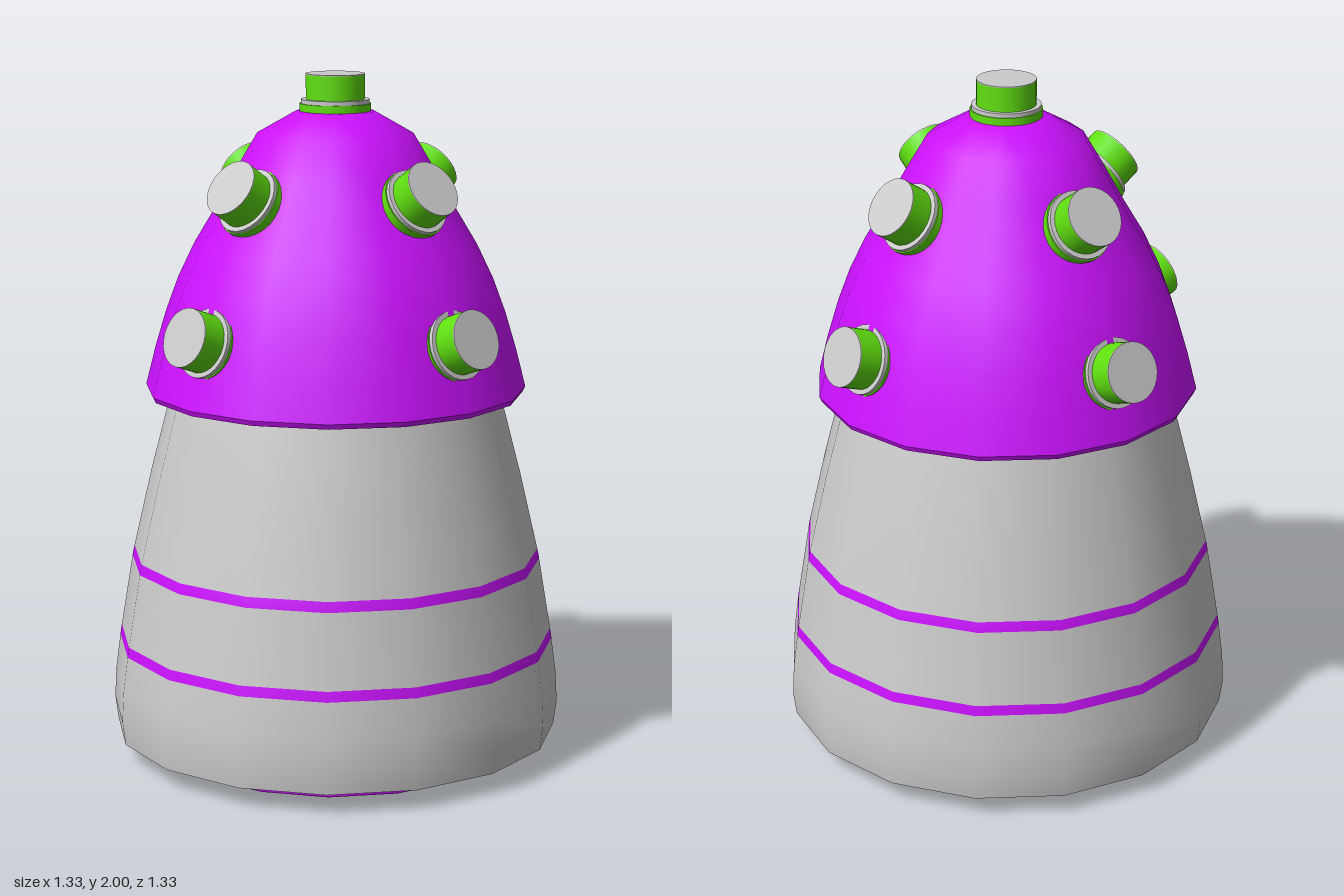
import * as THREE from 'three';

const SIDES = 16;
const paint = (color) => new THREE.MeshStandardMaterial({ color, side: THREE.DoubleSide });

export function createModel() {
  const model = new THREE.Group();
  const grey = paint(0xcccccc);
  const purple = paint(0xcc11ff);
  const green = paint(0x60e010);

  // One smooth revolved strip; profile is a list of [radius, height], upward = outward
  function strip(parent, name, profile, material, sides = SIDES) {
    const points = profile.map(([r, y]) => new THREE.Vector2(r, y));
    const mesh = new THREE.Mesh(new THREE.LatheGeometry(points, sides), material);
    mesh.name = name;
    parent.add(mesh);
    return mesh;
  }

  // Body shell: bands cut from one profile, each with an outer and an inner wall
  const bodyProfile = [[0.655, 0.06], [0.664, 0.13], [0.659, 0.22], [0.643, 0.34],
    [0.602, 0.585], [0.545, 0.83], [0.48, 1.08], [0.45, 1.18]];
  const wall = 0.03;
  function bodyRadius(y) {
    const i = Math.max(1, bodyProfile.findIndex((p) => p[1] >= y));
    const [r0, y0] = bodyProfile[i - 1];
    const [r1, y1] = bodyProfile[i];
    return r0 + (r1 - r0) * (y - y0) / (y1 - y0);
  }
  const bands = [
    ['lowerBody', 0.06, 0.325, grey], ['lowerStripe', 0.325, 0.355, purple],
    ['middleBody', 0.355, 0.57, grey], ['upperStripe', 0.57, 0.6, purple],
    ['upperBody', 0.6, 1.18, grey],
  ];
  for (const [name, y0, y1, material] of bands) {
    const band = new THREE.Group();
    band.name = name;
    const outer = [[bodyRadius(y0), y0],
      ...bodyProfile.filter(([, y]) => y > y0 && y < y1), [bodyRadius(y1), y1]];
    strip(band, name + 'Outside', outer, material);
    strip(band, name + 'Inside', outer.map(([r, y]) => [r - wall, y]).reverse(), material);
    model.add(band);
  }
  strip(model, 'bodyRim', [[0.655 - wall, 0.06], [0.655, 0.06]], grey);

  // Purple foot ring with a green liner rising into the body
  strip(model, 'footRingOutside', [[0.508, 0], [0.515, 0.008], [0.515, 0.1]], purple);
  strip(model, 'footRingInside', [[0.495, 0.1], [0.495, 0.008], [0.5, 0]], purple);
  strip(model, 'footRingEdge', [[0.5, 0], [0.508, 0]], purple);
  strip(model, 'linerOutside', [[0.515, 0.1], [0.515, 0.6]], green);
  strip(model, 'linerInside', [[0.495, 0.6], [0.495, 0.1]], green);
  strip(model, 'linerTop', [[0, 0.6], [0.515, 0.6]], green);

  // Domed hood with an overhanging lip
  strip(model, 'hood', [[0.556, 1.09], [0.528, 1.2], [0.495, 1.31], [0.458, 1.41],
    [0.41, 1.51], [0.35, 1.61], [0.29, 1.72], [0.225, 1.83], [0.115, 1.892], [0, 1.905]], purple);
  strip(model, 'hoodEdge', [[0.549, 1.075], [0.556, 1.09]], purple);
  strip(model, 'hoodUnderside', [[0.45, 1.075], [0.549, 1.075]], purple);

  // Button: its outer face is at the local origin and it points along +y
  function makeButton(name) {
    const button = new THREE.Group();
    button.name = name;
    const parts = [
      ['flange', 0.103, -0.135, -0.085, green],
      ['collar', 0.099, -0.085, -0.073, grey],
      ['stem', 0.085, -0.073, -0.003, green],
      ['cap', 0.085, -0.003, 0, grey],
    ];
    for (const [partName, r, y0, y1, material] of parts) {
      const mesh = new THREE.Mesh(new THREE.CylinderGeometry(r, r, y1 - y0, 28), material);
      mesh.position.y = (y0 + y1) / 2;
      mesh.name = partName;
      button.add(mesh);
    }
    return button;
  }

  const topButton = makeButton('topButton');
  topButton.position.y = 2;
  model.add(topButton);

  // Two rows of four buttons around the hood
  const rows = [['upperButton', 0.4, 1.705, 34], ['lowerButton', 0.573, 1.302, 20]];
  for (const [name, r, y, elevation] of rows) {
    for (let i = 0; i < 4; i++) {
      const arm = new THREE.Group();
      arm.name = name + 'Mount';
      const button = makeButton(name);
      button.position.set(0, y, r);
      button.rotation.x = THREE.MathUtils.degToRad(90 - elevation);
      arm.add(button);
      arm.rotation.y = i * Math.PI / 2;
      model.add(arm);
    }
  }
  return model;
}
